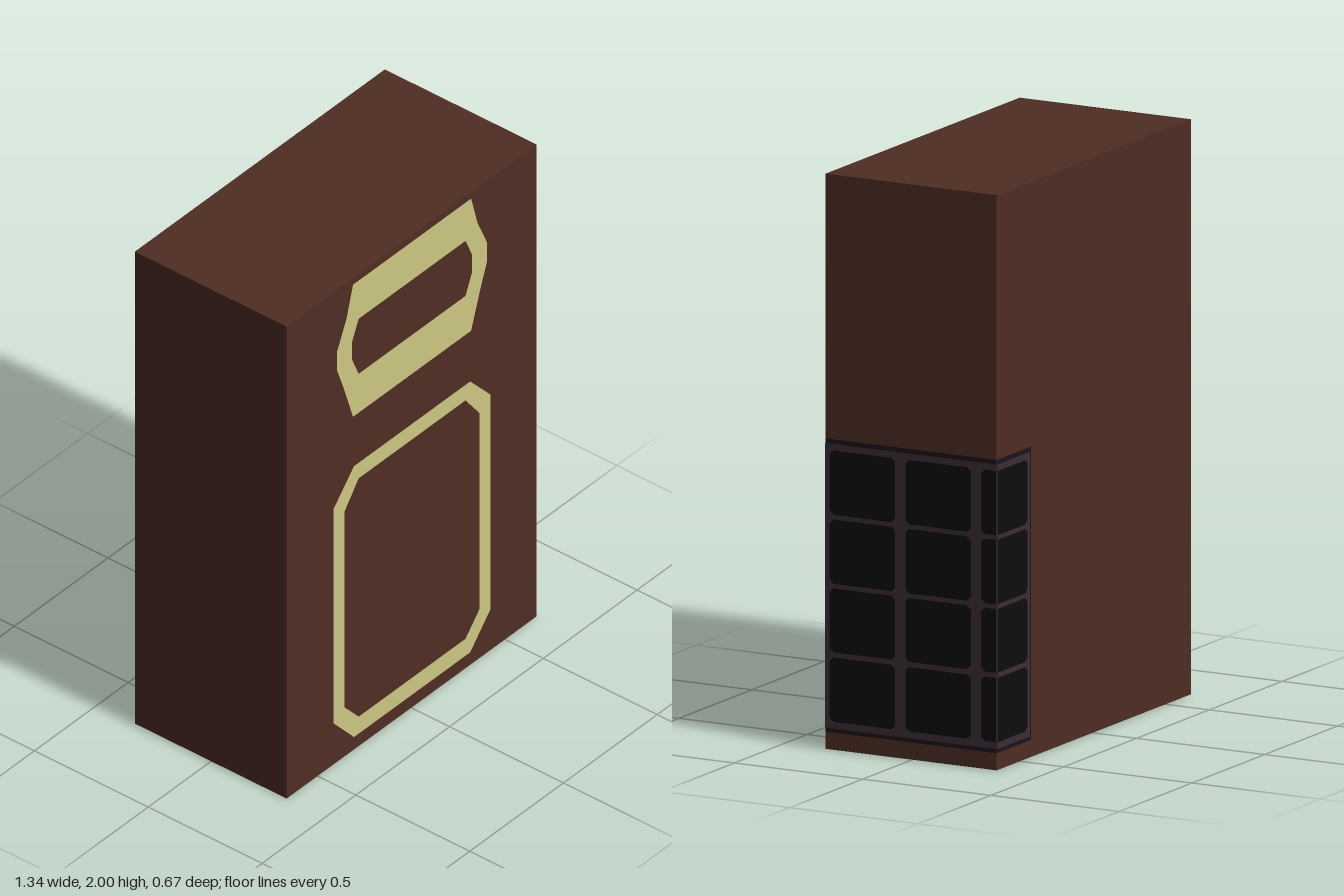
import * as THREE from 'three';

const W = 4 / 3, H = 2, D = 2 / 3;
const hx = W / 2, hz = D / 2;

function material(name, color) {
  const m = new THREE.MeshStandardMaterial({ color });
  m.name = name;
  return m;
}

// Mirror a right-hand outline (top to bottom) into a closed symmetric loop
const mirrored = (pts) => [...pts, ...pts.map(([x, y]) => [-x, y]).reverse()];
const vectors = (pts) => pts.map(([x, y]) => new THREE.Vector2(x, y));

function plate(name, mat, pts, lift, hole) {
  const shape = new THREE.Shape(vectors(pts));
  if (hole) shape.holes.push(new THREE.Path(vectors(hole)));
  const mesh = new THREE.Mesh(new THREE.ShapeGeometry(shape), mat);
  mesh.name = name;
  mesh.position.z = lift;
  return mesh;
}

const rect = (x0, x1, y0, y1) => [[x0, y0], [x1, y0], [x1, y1], [x0, y1]];

// Rectangle with clipped corners; a side that folds round the corner stays square
function tile(x0, x1, y0, y1, cutL, cutR) {
  const c = 0.014, l = cutL ? c : 0, r = cutR ? c : 0;
  return [
    [x0 + l, y0], [x1 - r, y0], [x1, y0 + r], [x1, y1 - r],
    [x1 - r, y1], [x0 + l, y1], [x0, y1 - l], [x0, y0 + l],
  ];
}

export function createModel() {
  const model = new THREE.Group();
  model.name = 'decoratedBlock';
  const brown = material('brown', 0x4f2d24);
  const yellow = material('paleYellow', 0xcdc882);
  const plum = material('plumFrame', 0x3c2d36);
  const black = material('blackPane', 0x0d0d0d);
  const dark = material('darkBorder', 0x1b141b);

  const body = new THREE.Mesh(new THREE.BoxGeometry(W, H, D), brown);
  body.name = 'body';
  body.position.y = H / 2;
  model.add(body);

  // One group per decorated face, with local z pointing outwards
  function face(name, position, rotation) {
    const g = new THREE.Group();
    g.name = name;
    g.position.set(...position);
    g.rotation.set(...rotation);
    model.add(g);
    return g;
  }
  const front = face('frontFace', [0, 0, hz], [0, 0, 0]);
  const side = face('sideFace', [hx, 0, 0], [0, Math.PI / 2, 0]);
  const back = face('backFace', [0, 0, -hz], [0, Math.PI, 0]);
  const bottom = face('bottomFace', [0, 0, 0], [Math.PI / 2, 0, 0]);

  // Upper badge and lower ring on the front
  front.add(plate('upperBadge', yellow,
    mirrored([[0.315, 1.975], [0.35, 1.85], [0.4, 1.74], [0.4, 1.66], [0.363, 1.56], [0.315, 1.415]]), 0.002,
    mirrored([[0.285, 1.813], [0.32, 1.735], [0.32, 1.66], [0.285, 1.58]])));
  front.add(plate('lowerRing', yellow,
    mirrored([[0.31, 1.203], [0.418, 1.085], [0.418, 0.175], [0.31, 0.055]]), 0.002,
    mirrored([[0.285, 1.137], [0.36, 1.04], [0.36, 0.21], [0.285, 0.127]])));

  // Part of a ring running off two edges of the underside
  bottom.add(plate('bottomRing', yellow, [
    [0.1, hz], [0.11, -0.08], [-0.01, -0.24], [-hx, -0.24],
    [-hx, -0.165], [-0.06, -0.165], [0.03, -0.04], [0.02, hz],
  ], 0.002));

  // Paned grid on the side, folding round onto the back
  const rows = [[0.098, 0.322], [0.34, 0.562], [0.578, 0.802], [0.818, 1.042]];
  const panels = [
    { g: side, x0: -hz, x1: hz, frameEnd: hz,
      cols: [[-0.315, -0.06, true, true], [-0.02, 0.235, true, true], [0.275, hz, true, false]] },
    { g: back, x0: -hx, x1: -0.433, frameEnd: -0.444,
      cols: [[-hx, -0.464, false, true]] },
  ];
  for (const { g, x0, x1, frameEnd, cols } of panels) {
    g.add(plate('gridBorder', dark, rect(x0, x1, 0.06, 1.08), 0.0015));
    g.add(plate('gridFrame', plum, rect(x0, frameEnd, 0.074, 1.064), 0.003));
    for (const [a, b, cutL, cutR] of cols) {
      for (const [y0, y1] of rows) {
        g.add(plate('pane', black, tile(a, b, y0, y1, cutL, cutR), 0.0045));
      }
    }
  }
  return model;
}
